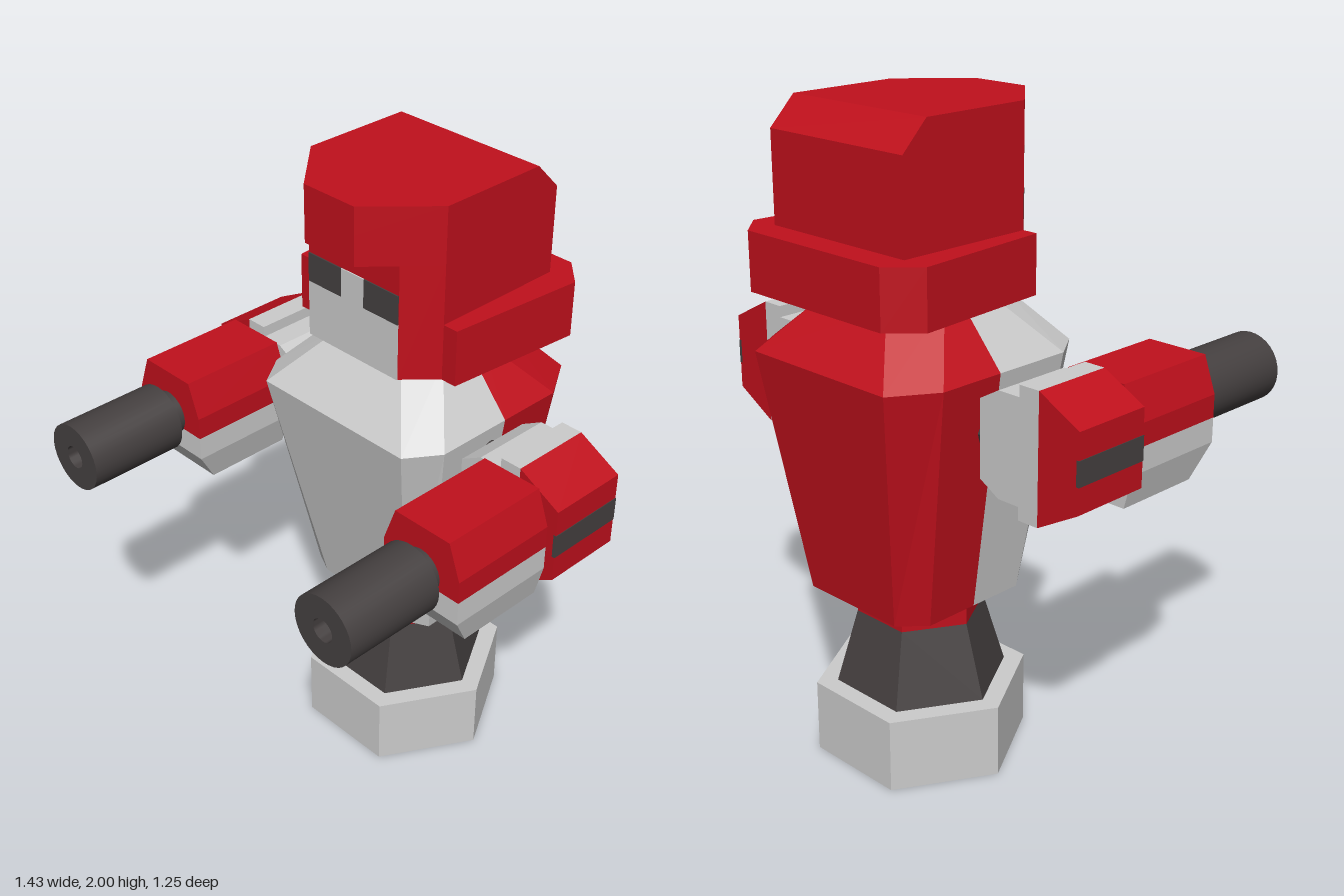
import * as THREE from 'three';
import { toCreasedNormals } from 'three/addons/utils/BufferGeometryUtils.js';

const material = (color, flatShading = true) => new THREE.MeshStandardMaterial({ color, flatShading });
const grey = material(0xcccccc);
const red = material(0xc0101c);
const dark = material(0x454040);
const darkSmooth = material(0x454040, false);

function add(parent, name, geometry, mat) {
  const mesh = new THREE.Mesh(geometry, mat);
  mesh.name = name;
  parent.add(mesh);
  return mesh;
}

// Closed solid through convex rings [y, halfOutline]; the half outline runs
// from front to back as [x, z] on the +x side and is mirrored.
function loft(rings) {
  const loops = rings.map(([y, half]) => {
    const mirrored = half.map(([x, z]) => [-x, z]).reverse();
    return [...half, ...mirrored].map(([x, z]) => [x, y, z]);
  });
  const n = loops[0].length;
  const pos = [];
  const tri = (a, b, c) => pos.push(...a, ...b, ...c);
  for (let r = 0; r < loops.length - 1; r++) {
    for (let i = 0; i < n; i++) {
      const j = (i + 1) % n;
      const [a, b, c, d] = [loops[r][i], loops[r][j], loops[r + 1][j], loops[r + 1][i]];
      tri(a, b, c);
      tri(a, c, d);
    }
  }
  const low = loops[0], top = loops[loops.length - 1];
  for (let i = 1; i < n - 1; i++) {
    tri(low[0], low[i + 1], low[i]);
    tri(top[0], top[i], top[i + 1]);
  }
  const g = new THREE.BufferGeometry();
  g.setAttribute('position', new THREE.Float32BufferAttribute(pos, 3));
  g.computeVertexNormals();
  return g;
}

const points = (list) => list.map(([x, y]) => new THREE.Vector2(x, y));

// Six-sided turned part with corners on the x axis
const hexLathe = (profile) =>
  new THREE.LatheGeometry(points(profile), 6, Math.PI / 2).translate(0, 0, -0.247);

// Outline in the xy plane, pushed along z
const prism = (outline, z0, z1) =>
  new THREE.ExtrudeGeometry(new THREE.Shape(points(outline)), { depth: z1 - z0, bevelEnabled: false })
    .translate(0, 0, z0);

const box = (w, h, d, x, y, z) => new THREE.BoxGeometry(w, h, d).translate(x, y, z);

function buildStand() {
  const stand = new THREE.Group();
  stand.name = 'stand';
  add(stand, 'foot', hexLathe([[0.265, 0], [0.33, 0], [0.33, 0.23], [0.24, 0.23]]), grey);
  add(stand, 'footInnerRing', hexLathe([[0.2, 0], [0.265, 0]]), red);
  add(stand, 'footHollow', hexLathe([[0.06, 0.3], [0.2, 0]]), dark);
  add(stand, 'hollowCap', hexLathe([[0, 0.3], [0.06, 0.3]]), grey);
  add(stand, 'leg', hexLathe([[0.265, 0.23], [0.197, 0.46]]), dark);
  add(stand, 'waist', hexLathe([[0.197, 0.46], [0.197, 0.56]]), red);
  return stand;
}

function buildTorso() {
  const torso = new THREE.Group();
  torso.name = 'torso';
  const seam = -0.27;
  add(torso, 'chest', loft([
    [0.55, [[0.18, -0.055], [0.25, -0.09], [0.25, seam]]],
    [1.295, [[0.285, 0.088], [0.355, -0.015], [0.355, seam]]],
    [1.47, [[0.135, -0.06], [0.2, -0.165], [0.2, seam]]],
  ]), grey);
  add(torso, 'back', loft([
    [0.55, [[0.25, seam], [0.25, -0.445], [0.18, -0.52]]],
    [1.295, [[0.355, seam], [0.355, -0.485], [0.27, -0.622]]],
    [1.47, [[0.2, seam], [0.2, -0.33], [0.12, -0.47]]],
  ]), red);
  return torso;
}

function buildHead() {
  const head = new THREE.Group();
  head.name = 'head';
  const lower = [[0.18, 0], [0.265, -0.09], [0.265, -0.535]];
  const upper = (back) => [[0.097, 0.09], [0.265, -0.09], [0.265, back]];
  add(head, 'helmetLower', loft([[1.47, lower], [1.825, lower]]), red);
  add(head, 'helmetUpper', loft([
    [1.825, upper(-0.535)], [1.915, upper(-0.535)], [2, upper(-0.45)],
  ]), red);
  const guard = [[0.315, -0.09], [0.355, -0.54], [0.27, -0.625]];
  add(head, 'neckGuard', loft([[1.47, guard], [1.645, guard]]), red);
  // Face panels sit just proud of the helmet front
  add(head, 'face', box(0.358, 0.175, 0.02, 0, 1.5575, -0.006), grey);
  add(head, 'nose', box(0.09, 0.09, 0.02, 0, 1.69, -0.006), grey);
  for (const s of [-1, 1]) add(head, 'eye', box(0.134, 0.09, 0.02, s * 0.112, 1.69, -0.006), dark);
  return head;
}

function buildArm(s) {
  const arm = new THREE.Group();
  arm.name = s > 0 ? 'leftArm' : 'rightArm';
  const side = (outline) => outline.map(([x, y]) => [s * x, y]);

  // Shoulder block: red outer cap, grey inner hub with ridge, dark axle
  add(arm, 'shoulderCap', prism(side([[0.57, 0.93], [0.712, 1.01], [0.712, 1.245], [0.57, 1.32]]), -0.35, -0.09), red);
  add(arm, 'shoulderStripe', box(0.01, 0.075, 0.261, s * 0.709, 1.1275, -0.22), dark);
  add(arm, 'shoulderHub', prism(side([
    [0.57, 0.93], [0.57, 1.32], [0.5, 1.32], [0.5, 1.285], [0.425, 1.285], [0.355, 1.245],
    [0.355, 1.01], [0.425, 0.97], [0.5, 0.97], [0.5, 0.93],
  ]), -0.35, -0.09), grey);
  const axle = new THREE.CylinderGeometry(0.115, 0.115, 0.14, 8).rotateZ(Math.PI / 2);
  add(arm, 'axle', axle.translate(s * 0.29, 1.13, -0.22), dark);

  // Forearm: red bevelled top over a grey tapered underside
  const fore = new THREE.Group();
  fore.name = 'forearm';
  fore.position.x = s * 0.54;
  arm.add(fore);
  add(fore, 'forearmTop', prism([
    [0.14, 1.11], [0.14, 1.18], [0.1, 1.29], [-0.1, 1.29], [-0.14, 1.18], [-0.14, 1.11],
  ], -0.09, 0.265), red);
  const plan = (x, front) => [[x, front], [x, -0.09]];
  add(fore, 'forearmUnderside', loft([
    [0.93, plan(0.113, 0.2)], [1.035, plan(0.14, 0.265)], [1.11, plan(0.14, 0.265)],
  ]), grey);

  // Barrel with a narrow neck and a small bore
  const barrel = new THREE.LatheGeometry(points([
    [0.07, 0.25], [0.07, 0.305], [0.107, 0.305], [0.107, 0.625], [0.036, 0.625], [0.036, 0.56], [0, 0.56],
  ]), 32).rotateX(Math.PI / 2);
  add(fore, 'barrel', toCreasedNormals(barrel, 0.6), darkSmooth).position.y = 1.145;
  return arm;
}

export function createModel() {
  const model = new THREE.Group();
  model.name = 'robot';
  model.add(buildStand(), buildTorso(), buildHead(), buildArm(1), buildArm(-1));
  return model;
}
